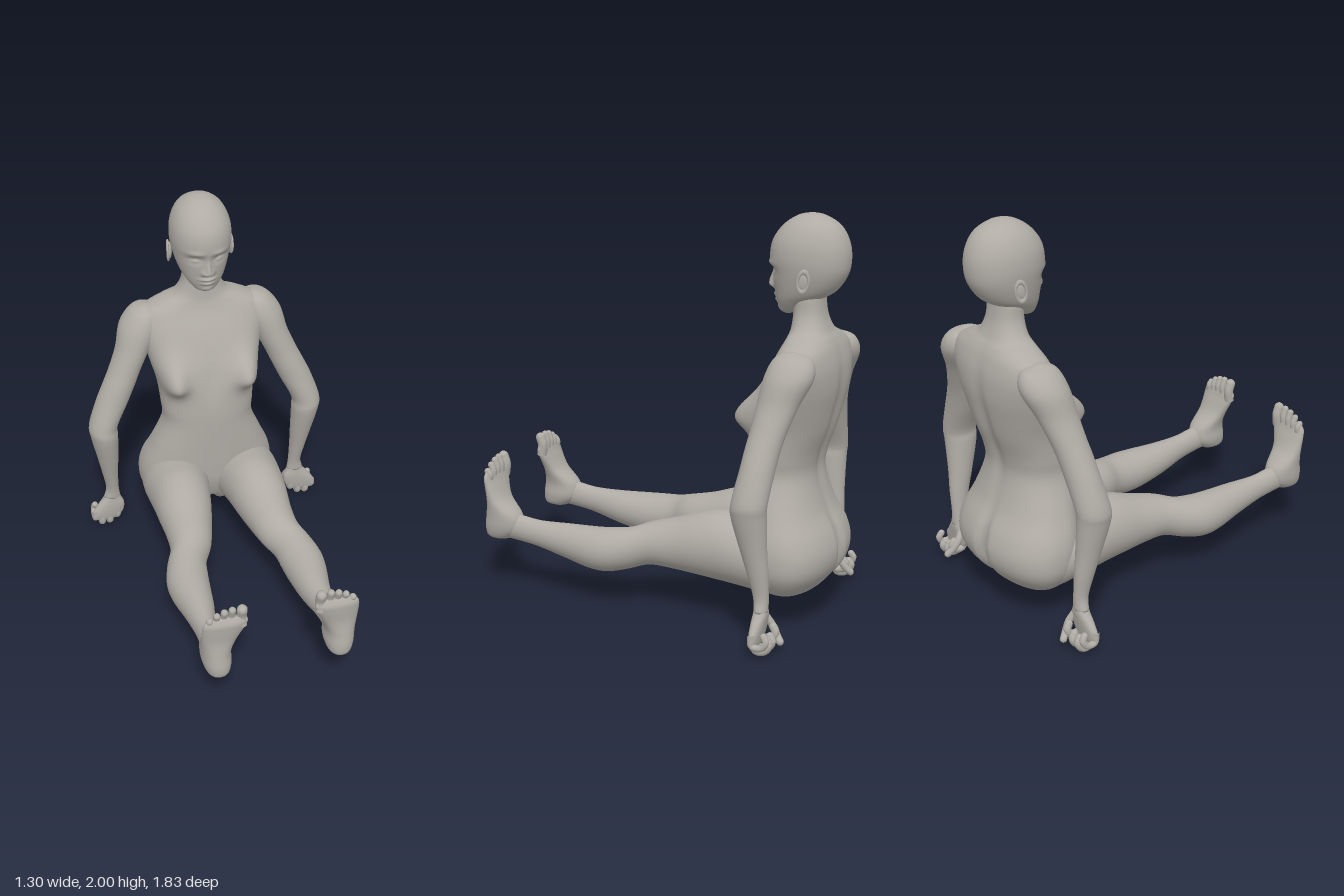
import * as THREE from 'three';
import { mergeGeometries } from 'three/addons/utils/BufferGeometryUtils.js';

const clay = new THREE.MeshStandardMaterial({ color: 0xb0aca5 });
clay.name = 'warm grey clay';

const bump = (d, s) => Math.exp(-(d * d) / (s * s));
const smooth = THREE.MathUtils.smoothstep;

// Skin through oval sections [t, x0, x1, v0, v1]; v is z when axis is 'y', and y when axis is 'z'
function loft(sections, { axis = 'y', power = 2, sides = 40, steps = 8, deform } = {}) {
  const rows = sections[0][0] > sections.at(-1)[0] ? [...sections].reverse() : sections;
  const spline = new THREE.CubicInterpolant(rows.map((_, i) => i), rows.flat(), 5);
  const count = (rows.length - 1) * steps;
  const pos = [], index = [];
  const put = (x, t, v) => {
    const p = axis === 'y' ? new THREE.Vector3(x, t, v) : new THREE.Vector3(x, v, t);
    if (deform) deform(p);
    pos.push(p.x, p.y, p.z);
  };
  const tri = (a, b, c) => (axis === 'y' ? index.push(a, b, c) : index.push(a, c, b));
  const round = (c) => Math.sign(c) * Math.abs(c) ** (2 / power);
  for (let k = 0; k <= count; k++) {
    const [t, x0, x1, v0, v1] = spline.evaluate(k / steps);
    for (let j = 0; j < sides; j++) {
      const a = (j / sides) * Math.PI * 2;
      put((x0 + x1) / 2 + ((x1 - x0) / 2) * round(Math.cos(a)), t,
        (v0 + v1) / 2 + ((v1 - v0) / 2) * round(Math.sin(a)));
    }
  }
  for (let k = 0; k < count; k++) {
    for (let j = 0; j < sides; j++) {
      const a = k * sides + j, b = k * sides + ((j + 1) % sides);
      tri(a, a + sides, b);
      tri(b, a + sides, b + sides);
    }
  }
  // Close both ends
  for (const [row, start, flip] of [[rows[0], 0, false], [rows.at(-1), count * sides, true]]) {
    const c = pos.length / 3;
    put((row[1] + row[2]) / 2, row[0], (row[3] + row[4]) / 2);
    for (let j = 0; j < sides; j++) {
      const a = start + j, b = start + ((j + 1) % sides);
      if (flip) tri(a, c, b); else tri(a, b, c);
    }
  }
  const geo = new THREE.BufferGeometry();
  geo.setAttribute('position', new THREE.Float32BufferAttribute(pos, 3));
  geo.setIndex(index);
  geo.computeVertexNormals();
  return geo;
}

// Symmetric sections [t, halfWidth, front, back]
const centred = (rows) => rows.map(([t, w, front, back]) => [t, -w, w, back, front]);

// Rounded digit along a curve
function digit(points, r) {
  const path = points.map((p) => new THREE.Vector3(...p));
  const tube = new THREE.TubeGeometry(new THREE.CatmullRomCurve3(path), 14, r, 12);
  const tip = new THREE.SphereGeometry(r, 12, 8);
  tip.translate(...points.at(-1));
  return mergeGeometries([tube, tip]);
}

function mirrored(geo) {
  const m = geo.clone();
  for (const name of ['position', 'normal']) {
    const a = m.attributes[name];
    for (let i = 0; i < a.count; i++) a.setX(i, -a.getX(i));
  }
  const ix = m.index.array;
  for (let i = 0; i < ix.length; i += 3) [ix[i], ix[i + 1]] = [ix[i + 1], ix[i]];
  return m;
}

// Chest, spine groove and seat shaping
function shapeTorso(p) {
  const x = Math.abs(p.x), { y, z } = p;
  const front = smooth(z, -0.68, -0.54), back = 1 - smooth(z, -0.8, -0.68);
  p.z += 0.1 * front * bump(x - 0.205, 0.075) * bump(y - 1.03, y > 1.03 ? 0.12 : 0.07);
  p.z -= 0.012 * front * bump(x, 0.05) * bump(y - 1.04, 0.12);
  p.z += 0.02 * back * bump(x, 0.045) * bump(y - 0.98, 0.3);
  p.z += 0.07 * back * bump(x, 0.028) * bump(y - 0.3, 0.17);
  p.y += 0.05 * bump(x, 0.03) * (1 - smooth(y, 0.16, 0.26));
}

// Nose, lips, chin and eye sockets
function shapeFace(p) {
  const x = Math.abs(p.x), { y, z } = p;
  const front = smooth(z, -0.68, -0.58);
  const nose = y > 1.648 ? bump(y - 1.648, 0.055) : bump(y - 1.648, 0.016);
  p.z += front * (0.036 * nose * bump(x, 0.011 + 0.012 * bump(y - 1.645, 0.03))
    + 0.01 * bump(x - 0.022, 0.011) * bump(y - 1.642, 0.012)
    + 0.015 * bump(x, 0.036) * bump(y - 1.604, 0.01)
    + 0.014 * bump(x, 0.032) * bump(y - 1.579, 0.01)
    + 0.007 * bump(x, 0.03) * bump(y - 1.54, 0.015)
    + 0.008 * bump(x - 0.065, 0.045) * bump(y - 1.762, 0.014)
    - 0.02 * bump(x - 0.062, 0.036) * bump(y - 1.722, 0.022)
    + 0.013 * bump(x - 0.064, 0.024) * bump(y - 1.716, 0.011));
}

const torsoRows = [
  [0.16, 0.2, -0.6, -0.76], [0.19, 0.29, -0.55, -0.82], [0.275, 0.355, -0.5, -0.89],
  [0.365, 0.37, -0.47, -0.912], [0.46, 0.355, -0.46, -0.89], [0.58, 0.305, -0.455, -0.83],
  [0.735, 0.245, -0.45, -0.79], [0.84, 0.248, -0.45, -0.8], [0.97, 0.262, -0.46, -0.845],
  [1.08, 0.29, -0.485, -0.872], [1.18, 0.315, -0.525, -0.89], [1.28, 0.335, -0.57, -0.89],
  [1.36, 0.315, -0.612, -0.872], [1.41, 0.23, -0.632, -0.85], [1.45, 0.145, -0.64, -0.825],
  [1.52, 0.104, -0.645, -0.8], [1.6, 0.096, -0.645, -0.79], [1.66, 0.09, -0.65, -0.79]];

const headRows = [
  [1.516, 0.025, -0.59, -0.63], [1.535, 0.06, -0.57, -0.68], [1.58, 0.096, -0.556, -0.75],
  [1.63, 0.124, -0.547, -0.84], [1.71, 0.147, -0.535, -0.897], [1.79, 0.157, -0.521, -0.912],
  [1.87, 0.148, -0.535, -0.9], [1.94, 0.115, -0.585, -0.86], [1.985, 0.06, -0.652, -0.79],
  [2.0, 0.005, -0.718, -0.728]];

const armRows = [
  [1.39, 0.28, 0.31, -0.76, -0.72], [1.36, 0.23, 0.375, -0.84, -0.66],
  [1.28, 0.22, 0.435, -0.86, -0.625], [1.16, 0.285, 0.467, -0.81, -0.61],
  [1.05, 0.34, 0.512, -0.775, -0.6], [0.97, 0.375, 0.55, -0.757, -0.59],
  [0.87, 0.42, 0.595, -0.745, -0.58], [0.735, 0.485, 0.64, -0.735, -0.562],
  [0.66, 0.488, 0.635, -0.73, -0.56], [0.5, 0.49, 0.603, -0.73, -0.6],
  [0.39, 0.493, 0.582, -0.735, -0.63], [0.27, 0.492, 0.562, -0.735, -0.66],
  [0.2, 0.485, 0.575, -0.735, -0.667]];

const palmRows = [
  [0.23, 0.495, 0.56, -0.73, -0.67], [0.19, 0.482, 0.58, -0.735, -0.667],
  [0.15, 0.466, 0.612, -0.73, -0.665], [0.1, 0.472, 0.645, -0.722, -0.668],
  [0.06, 0.5, 0.645, -0.715, -0.675], [0.045, 0.54, 0.62, -0.705, -0.685]];

// Leg sections run forward from hip to ankle
const legRows = [
  [-0.84, 0.13, 0.25, 0.27, 0.38], [-0.78, 0.06, 0.32, 0.2, 0.44],
  [-0.68, 0.02, 0.36, 0.165, 0.49], [-0.56, 0.015, 0.373, 0.175, 0.525],
  [-0.46, 0.03, 0.37, 0.187, 0.54], [-0.36, 0.048, 0.363, 0.197, 0.549],
  [-0.26, 0.065, 0.357, 0.207, 0.53], [-0.13, 0.095, 0.346, 0.22, 0.485],
  [0, 0.13, 0.35, 0.228, 0.45], [0.1, 0.18, 0.39, 0.205, 0.418],
  [0.2, 0.196, 0.415, 0.183, 0.405], [0.3, 0.207, 0.41, 0.185, 0.398],
  [0.45, 0.225, 0.382, 0.215, 0.391], [0.6, 0.255, 0.362, 0.25, 0.388],
  [0.7, 0.263, 0.36, 0.265, 0.4], [0.8, 0.265, 0.36, 0.275, 0.41]];

// Foot sections run up from heel to ball
const footRows = [
  [0.265, 0.28, 0.335, 0.8, 0.875], [0.282, 0.25, 0.362, 0.76, 0.908],
  [0.33, 0.235, 0.38, 0.71, 0.915], [0.4, 0.235, 0.385, 0.715, 0.906],
  [0.48, 0.213, 0.387, 0.795, 0.897], [0.56, 0.178, 0.387, 0.835, 0.902],
  [0.6, 0.166, 0.383, 0.85, 0.903], [0.63, 0.175, 0.365, 0.86, 0.89]];

export function createModel() {
  const model = new THREE.Group();
  const add = (name, geo) => {
    const mesh = new THREE.Mesh(geo, clay);
    mesh.name = name;
    model.add(mesh);
  };
  const pair = (name, geo) => {
    add('left' + name, geo);
    add('right' + name, mirrored(geo));
  };

  add('torsoAndNeck', loft(centred(torsoRows), { power: 2.3, sides: 120, steps: 7, deform: shapeTorso }));
  add('head', loft(centred(headRows), { power: 2.1, sides: 160, steps: 14, deform: shapeFace }));

  // Ear: shallow bowl with a raised rim
  const bowl = new THREE.SphereGeometry(1, 16, 12).scale(0.012, 0.046, 0.026);
  const rim = new THREE.TorusGeometry(0.026, 0.007, 8, 24).rotateY(Math.PI / 2).scale(1, 1.85, 1).translate(0.008, 0, 0);
  pair('Ear', mergeGeometries([bowl, rim]).rotateY(0.25).rotateX(-0.12).translate(0.156, 1.695, -0.737));

  pair('Arm', loft(armRows));
  pair('Palm', loft(palmRows, { power: 2.3 }));

  // Curled fingers, inner to outer, then the thumb
  [[0.508, 0.045], [0.551, 0.013], [0.594, 0.01], [0.632, 0.04]].forEach(([x, y], i) => {
    pair('Finger' + (i + 1), digit([[x, y + 0.075, -0.692], [x, y + 0.02, -0.697], [x, y + 0.018, -0.742],
      [x - 0.004, y + 0.05, -0.765], [x - 0.008, y + 0.073, -0.752]], i === 3 ? 0.017 : 0.02));
  });
  pair('Thumb', digit([[0.497, 0.17, -0.71], [0.483, 0.12, -0.74], [0.495, 0.075, -0.77], [0.508, 0.052, -0.79]], 0.018));

  pair('Leg', loft(legRows, { axis: 'z', sides: 48 }));
  pair('Foot', loft(footRows, { power: 2.2 }));

  // Toes, big toe on the inside
  [[0.194, 0.668, 0.026], [0.242, 0.674, 0.018], [0.28, 0.667, 0.0175], [0.317, 0.652, 0.017], [0.352, 0.627, 0.017]]
    .forEach(([x, top, r], i) => {
      pair('Toe' + (i + 1), digit([[x, 0.57, 0.872], [x, (0.59 + top) / 2, 0.866], [x, top, 0.878]], r));
    });

  return model;
}
